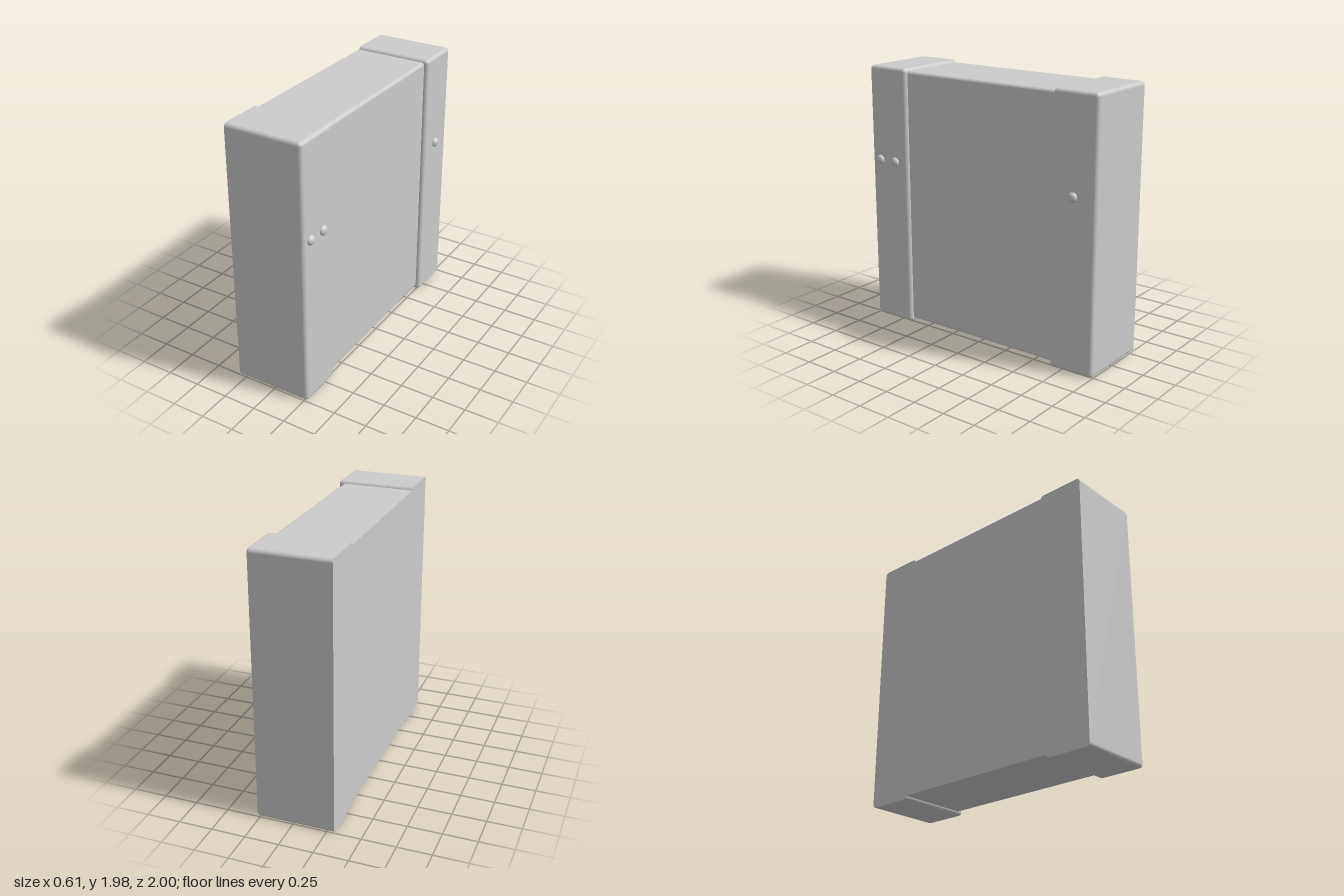
import * as THREE from 'three';
import { RoundedBoxGeometry } from 'three/addons/geometries/RoundedBoxGeometry.js';

const BACK = -0.305, FRONT = 0.278, HEIGHT = 1.983;
const material = new THREE.MeshStandardMaterial({ color: 0xcccccc });

// Rounded box whose back (-x) side is cut flat with sharp edges
function flatBackBox(name, front, y0, y1, z0, z1, r) {
  const w = front - BACK + 2 * r;
  const geo = new RoundedBoxGeometry(w, y1 - y0, z1 - z0, 4, r);
  geo.translate(front - w / 2, (y0 + y1) / 2, (z0 + z1) / 2);
  const p = geo.attributes.position, n = geo.attributes.normal;
  for (let i = 0; i < p.count; i += 3) {
    let onBack = true;
    for (let j = i; j < i + 3; j++) {
      if (p.getX(j) > BACK + 1e-4) onBack = false;
    }
    for (let j = i; j < i + 3; j++) {
      if (p.getX(j) < BACK) p.setX(j, BACK);
      if (onBack) n.setXYZ(j, -1, 0, 0);
    }
  }
  const mesh = new THREE.Mesh(geo, material);
  mesh.name = name;
  return mesh;
}

export function createModel() {
  const group = new THREE.Group();
  group.name = 'bandedCase';

  // Recessed middle body, its ends buried in the end blocks
  group.add(flatBackBox('middleBody', 0.248, 0.024, 1.963, -0.72, 0.72, 0.025));

  // Taller, deeper block at each end
  group.add(flatBackBox('frontEndBlock', FRONT, 0, HEIGHT, 0.65, 1, 0.028));
  group.add(flatBackBox('backEndBlock', FRONT, 0, HEIGHT, -1, -0.65, 0.028));

  // Low domed buttons: two on the front block, one on the back block
  const dome = new THREE.SphereGeometry(1, 32, 20);
  for (const z of [0.916, 0.768, -0.819]) {
    const button = new THREE.Mesh(dome, material);
    button.name = 'button';
    button.scale.set(0.025, 0.036, 0.036);
    button.position.set(0.279, 1.27, z);
    group.add(button);
  }
  return group;
}
